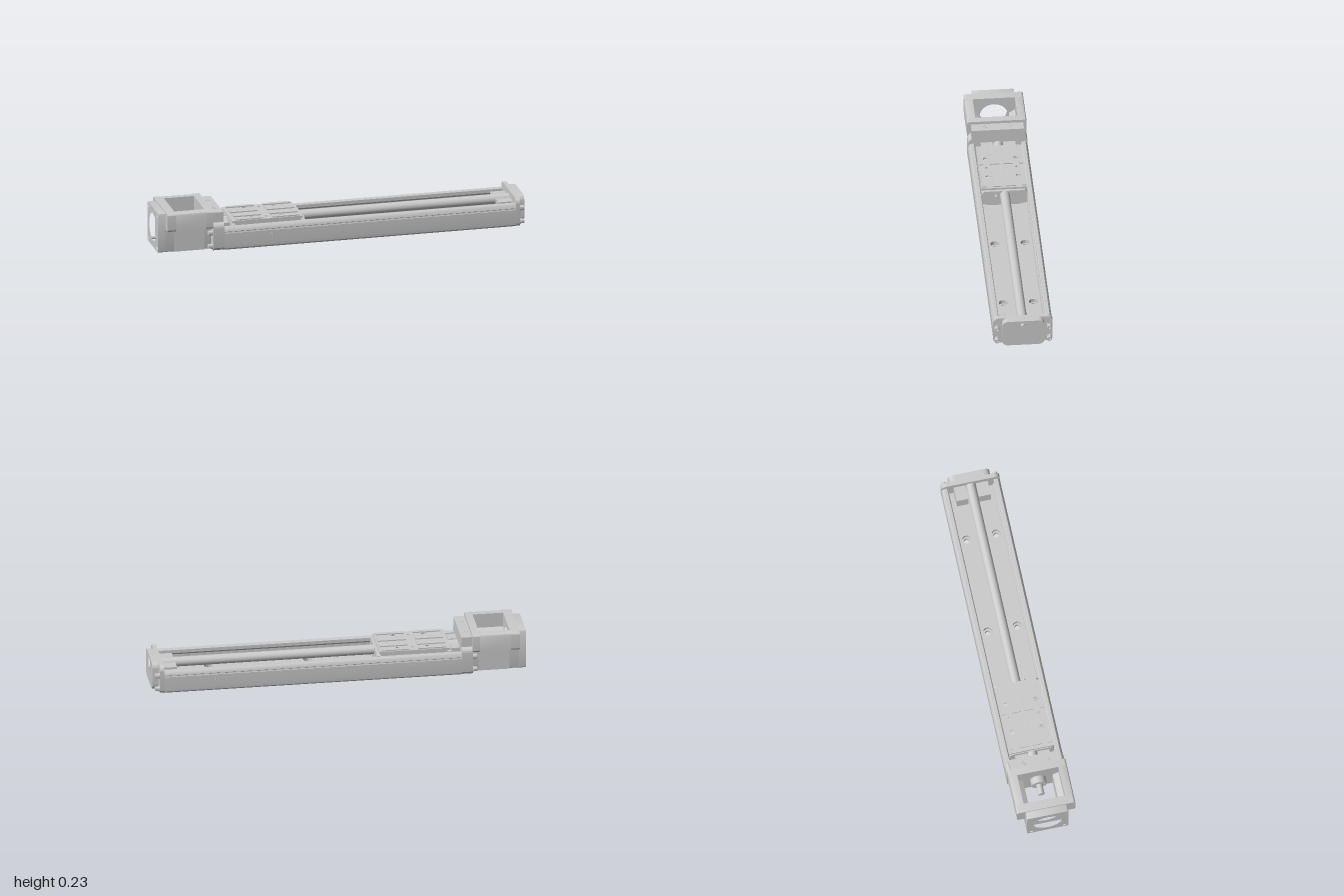
import * as THREE from 'three';
import { toCreasedNormals } from 'three/addons/utils/BufferGeometryUtils.js';

const mat = new THREE.MeshStandardMaterial({ color: 0xcccccc });
const AXIS = 0.115; // height of the screw axis

export function createModel() {
  const model = new THREE.Group();
  const add = (name, geo, parent = model) => {
    const m = new THREE.Mesh(geo, mat);
    m.name = name;
    parent.add(m);
    return m;
  };
  const group = (name) => {
    const g = new THREE.Group();
    g.name = name;
    model.add(g);
    return g;
  };
  const box = (name, x0, x1, y0, y1, z0, z1, parent) => {
    const g = new THREE.BoxGeometry(x1 - x0, y1 - y0, z1 - z0);
    g.translate((x0 + x1) / 2, (y0 + y1) / 2, (z0 + z1) / 2);
    return add(name, g, parent);
  };
  const circle = (x, y, r) => new THREE.Path().absarc(x, y, r, 0, Math.PI * 2, true);
  const extrude = (shape, depth) =>
    new THREE.ExtrudeGeometry(shape, { depth, bevelEnabled: false, curveSegments: 16 });

  // Cross-section of [z, y] points (optional corner radius) run along x
  const polygon = (pts, radius = 0) => {
    const s = new THREE.Shape();
    const n = pts.length;
    const v = pts.map((p) => new THREE.Vector2(-p[0], p[1]));
    v.forEach((p, i) => {
      const toward = (q) => {
        const d = q.clone().sub(p);
        return p.clone().add(d.setLength(Math.min(radius, d.length() * 0.45)));
      };
      const a = toward(v[(i + n - 1) % n]), b = toward(v[(i + 1) % n]);
      if (i) s.lineTo(a.x, a.y); else s.moveTo(a.x, a.y);
      if (radius) s.quadraticCurveTo(p.x, p.y, b.x, b.y);
    });
    s.closePath();
    return s;
  };
  const alongX = (name, pts, x0, x1, { radius = 0, holes = [], parent } = {}) => {
    const s = polygon(pts, radius);
    holes.forEach(([z, y, r]) => s.holes.push(circle(-z, y, r)));
    const g = extrude(s, x1 - x0).rotateY(Math.PI / 2).translate(x0, 0, 0);
    return add(name, toCreasedNormals(g, 0.6), parent);
  };
  const mirrored = (half) => [...half, ...half.map(([z, y]) => [-z, y]).reverse()];

  // Horizontal plate with round holes given as [x, z, r]
  const plate = (name, x0, x1, y0, y1, z, holes, parent) => {
    const s = new THREE.Shape([[x0, -z], [x1, -z], [x1, z], [x0, z]].map((p) => new THREE.Vector2(...p)));
    holes.forEach(([x, hz, r]) => s.holes.push(circle(x, -hz, r)));
    const g = extrude(s, y1 - y0).rotateX(-Math.PI / 2).translate(0, y0, 0);
    return add(name, toCreasedNormals(g, 0.6), parent);
  };
  const rodX = (name, x0, x1, y, z, r, parent, sides = 32) => {
    const g = new THREE.CylinderGeometry(r, r, x1 - x0, sides).rotateZ(-Math.PI / 2);
    return add(name, g.translate((x0 + x1) / 2, y, z), parent);
  };
  // Socket head cap screw: collar plus a head with a hexagonal recess; dir is the way it faces
  const capScrew = (x, y, z, dir, parent) => {
    const g = new THREE.LatheGeometry(
      [[0.015, 0], [0.015, 0.006], [0.0125, 0.006], [0.0125, 0.024], [0.007, 0.024], [0.007, 0.014], [0, 0.014]]
        .map((p) => new THREE.Vector2(...p)), 24);
    const m = add('capScrew', toCreasedNormals(g.rotateZ(-dir * Math.PI / 2), 0.6), parent);
    m.position.set(x, y, z);
  };

  // U-shaped rail: two walls with ball grooves, counterbored floor
  const rail = group('rail');
  const wall = [[0.118, 0.004], [0.145, 0.004], [0.156, 0.014], [0.158, 0.03], [0.158, 0.098], [0.156, 0.1],
    [0.156, 0.105], [0.158, 0.107], [0.154, 0.122], [0.146, 0.13], [0.128, 0.13], [0.124, 0.126],
    [0.124, 0.108], [0.132, 0.098], [0.132, 0.082], [0.124, 0.072], [0.118, 0.06]];
  const mounts = [-0.39, 0.14, 0.67].flatMap((x) => [[x, -0.08], [x, 0.08]]);
  for (const s of [1, -1]) {
    const pts = wall.map(([z, y]) => [s * z, y]);
    alongX('railWall', s > 0 ? pts : pts.reverse(), -0.65, 0.945, { parent: rail });
    // Small side ports
    for (const x of [-0.39, 0.67]) {
      const port = new THREE.TorusGeometry(0.006, 0.0015, 6, 20);
      add('sidePort', port, rail).position.set(x, 0.075, s * 0.158);
    }
  }
  plate('railFloorLower', -0.65, 0.945, 0.004, 0.024, 0.119, mounts.map((m) => [...m, 0.014]), rail);
  plate('railFloorUpper', -0.65, 0.945, 0.024, 0.045, 0.119, mounts.map((m) => [...m, 0.024]), rail);

  // Ball screw and its shaft ends
  rodX('ballScrew', -0.65, 0.945, AXIS, 0, 0.026);
  rodX('screwTip', 0.94, 0.99, AXIS, 0, 0.012);

  // Far end: plate, bearing cover, screws, buffers
  const end = group('endSupport');
  alongX('endPlate', mirrored([[0.145, 0.004], [0.158, 0.016], [0.158, 0.142], [0.142, 0.16]]),
    0.943, 0.966, { radius: 0.012, parent: end });
  alongX('bearingCover', mirrored([[0.112, 0.007], [0.112, 0.16]]), 0.966, 1,
    { radius: 0.035, holes: [[0, AXIS, 0.032]], parent: end });
  for (const s of [1, -1]) {
    box('endBuffer', 0.865, 0.943, 0.045, 0.125, s * 0.06 - 0.032, s * 0.06 + 0.032, end);
    box('startBuffer', -0.65, -0.605, 0.045, 0.135, s * 0.06 - 0.032, s * 0.06 + 0.032, end);
    for (const y of [0.028, 0.102]) {
      capScrew(0.966, y, s * 0.139, 1, end);
      capScrew(-0.71, y, s * 0.139, -1, end);
    }
  }

  // Sliding carriage
  const carriage = group('carriage');
  alongX('carriageBody', mirrored([[0.075, 0.055], [0.115, 0.065], [0.115, 0.138], [0.105, 0.143]]),
    -0.58, -0.22, { parent: carriage });
  const taps = [];
  for (const z of [0.08, -0.08]) taps.push([-0.48, z, 0.012], [-0.32, z, 0.012], [-0.4, z, 0.007]);
  plate('carriageTop', -0.595, -0.215, 0.138, 0.151, 0.122, taps, carriage);
  for (const s of [1, -1]) {
    for (const x of [-0.5, -0.3]) {
      const pad = s * 0.105;
      box('mountingPad', x - 0.075, x + 0.075, 0.15, 0.157, pad - 0.011, pad + 0.011, carriage);
      box('innerPad', x - 0.075, x + 0.075, 0.15, 0.157, s * 0.035 - 0.025, s * 0.035 + 0.025, carriage);
    }
  }
  for (const x of [-0.6, -0.222]) {
    alongX('endCap', mirrored([[0.08, 0.052], [0.12, 0.062], [0.12, 0.128], [0.108, 0.14]]),
      x, x + 0.022, { parent: carriage });
  }
  rodX('greaseNipple', -0.2, -0.185, 0.11, 0.045, 0.009, carriage, 16);

  // Bearing block between rail and motor bracket
  const block = group('bearingBlock');
  alongX('blockBase', mirrored([[0.145, 0.004], [0.158, 0.016], [0.158, 0.142], [0.14, 0.16]]),
    -0.71, -0.65, { radius: 0.012, parent: block });
  box('blockHead', -0.72, -0.65, 0.158, 0.213, -0.139, 0.139, block);
  for (const z of [0.065, -0.065]) {
    const ring = new THREE.TorusGeometry(0.009, 0.002, 6, 24).rotateX(Math.PI / 2);
    add('blockPort', ring, block).position.set(-0.685, 0.213, z);
  }

  // Motor bracket: wide upper part over a narrower base, open above and below
  const bracket = group('motorBracket');
  const section = mirrored([[0.112, 0.004], [0.112, 0.13], [0.158, 0.13], [0.158, 0.229]]);
  alongX('rearWall', section, -0.96, -0.912, { radius: 0.012, holes: [[0, AXIS, 0.075]], parent: bracket });
  alongX('frontWall', section, -0.748, -0.708, { radius: 0.012, parent: bracket });
  for (const s of [1, -1]) {
    const side = [[0.08, 0.004], [0.112, 0.004], [0.112, 0.13], [0.158, 0.13], [0.158, 0.215], [0.154, 0.225],
      [0.144, 0.229], [0.112, 0.229], [0.112, 0.15], [0.08, 0.13]].map(([z, y]) => [s * z, y]);
    alongX('sideWall', s > 0 ? side : side.reverse(), -0.913, -0.747, { parent: bracket });
  }
  const bolts = [[1, 1], [1, -1], [-1, 1], [-1, -1]].map(([a, b]) => [a * 0.088, 0.112 + b * 0.088, 0.008]);
  alongX('motorFlange', mirrored([[0.112, 0.004], [0.112, 0.222]]), -1, -0.96,
    { radius: 0.01, holes: [[0, AXIS, 0.075], ...bolts], parent: bracket });
  rodX('shaftCollar', -0.785, -0.747, AXIS, 0, 0.042, bracket);
  rodX('driveShaft', -0.84, -0.747, AXIS, 0, 0.017, bracket);

  return model;
}
